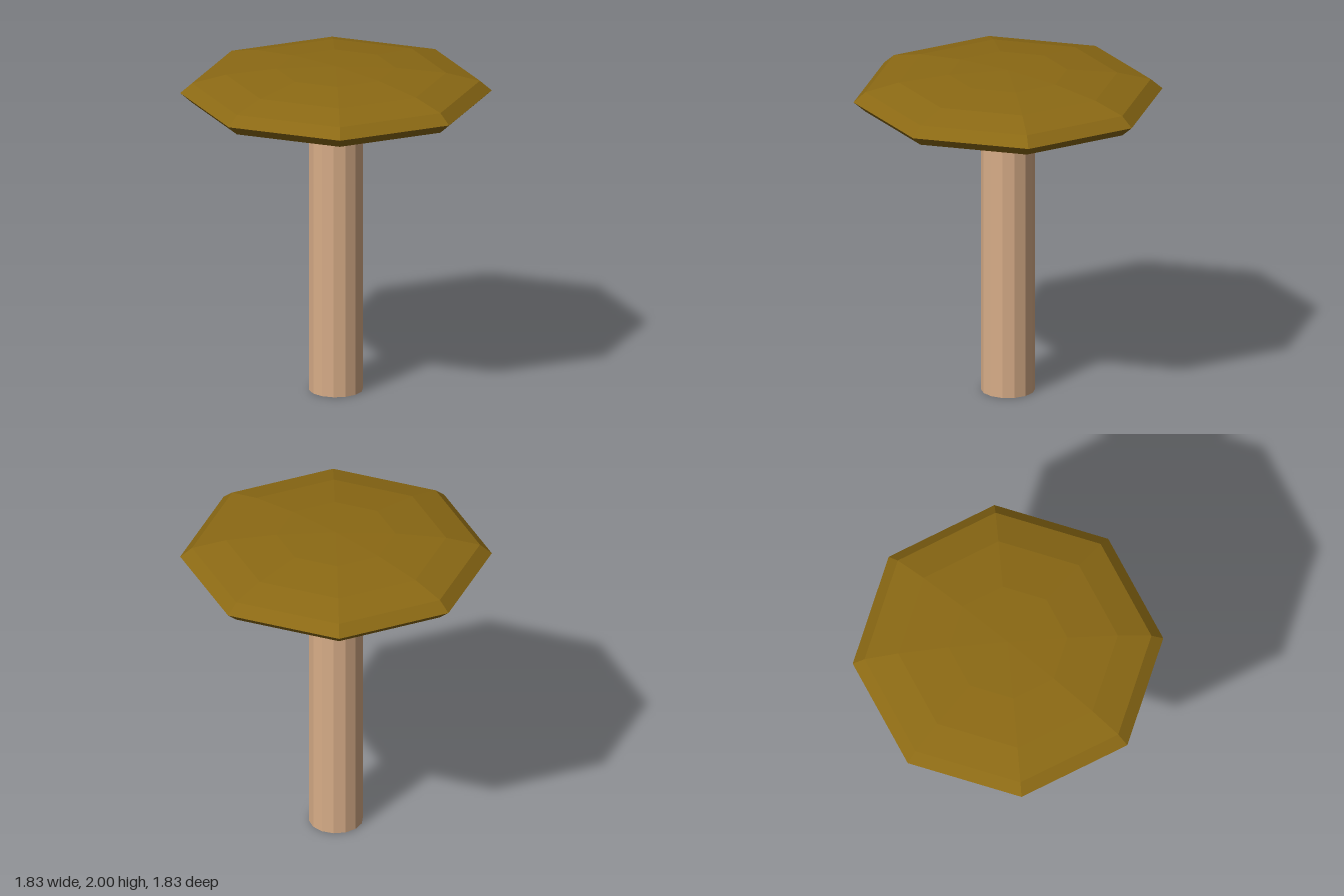
import * as THREE from 'three';

const material = (color) => new THREE.MeshStandardMaterial({ color, flatShading: true });

export function createModel() {
  const model = new THREE.Group();
  model.name = 'mushroom';

  // Straight faceted stem, running up into the cap
  const stemHeight = 1.84;
  const stem = new THREE.Mesh(
    new THREE.CylinderGeometry(0.16, 0.16, stemHeight, 14),
    material(0xd8ad88)
  );
  stem.name = 'stem';
  stem.position.y = stemHeight / 2;
  model.add(stem);

  // Flattened eight-sided cap
  const capGeometry = new THREE.SphereGeometry(1, 8, 8);
  capGeometry.scale(0.917, 0.158, 0.917);
  const cap = new THREE.Mesh(capGeometry, material(0x8b6914));
  cap.name = 'cap';
  cap.position.y = 1.842;
  model.add(cap);

  return model;
}
